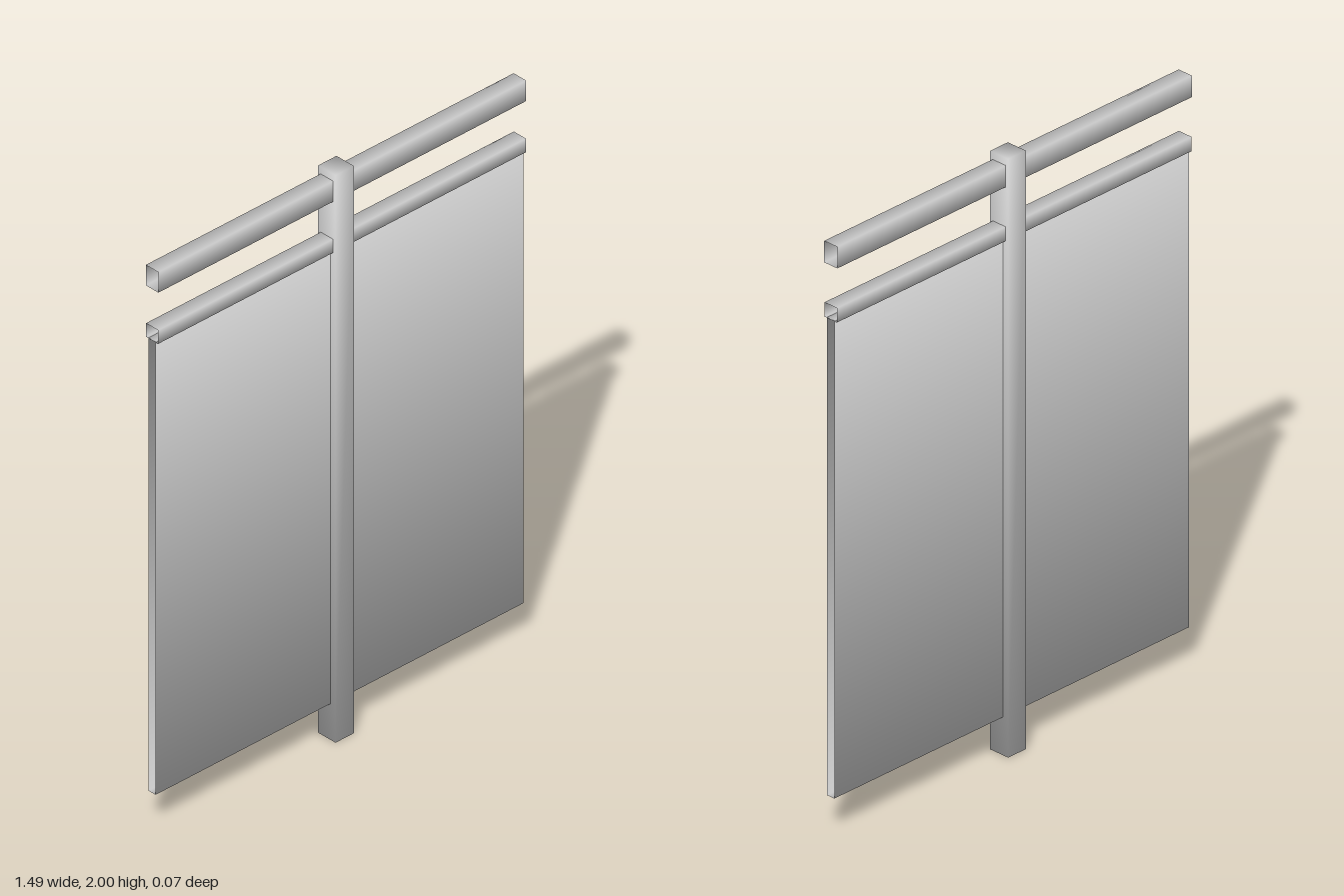
import * as THREE from 'three';
import { mergeVertices } from 'three/addons/utils/BufferGeometryUtils.js';

const material = new THREE.MeshStandardMaterial({ color: 0xcccccc, side: THREE.DoubleSide });
const WIDTH = 1.49;

// Box with normals blended over its edges; openEnds leaves off the two x faces
function softBox(w, h, d, openEnds) {
  const box = new THREE.BoxGeometry(w, h, d);
  if (openEnds) box.setIndex([...box.index.array].slice(12));
  box.deleteAttribute('uv');
  box.deleteAttribute('normal');
  const soft = mergeVertices(box);
  soft.computeVertexNormals();
  // Equal weight on each axis gives diagonal corner normals
  const p = soft.attributes.position, n = soft.attributes.normal, v = new THREE.Vector3();
  for (let i = 0; i < p.count; i++) {
    v.set(openEnds ? 0 : Math.sign(p.getX(i)), Math.sign(p.getY(i)), Math.sign(p.getZ(i))).normalize();
    n.setXYZ(i, v.x, v.y, v.z);
  }
  return soft;
}

export function createModel() {
  const model = new THREE.Group();

  function addPart(name, w, yMin, yMax, depth, openEnds) {
    const mesh = new THREE.Mesh(softBox(w, yMax - yMin, depth, openEnds), material);
    mesh.name = name;
    mesh.position.y = (yMin + yMax) / 2;
    model.add(mesh);
  }

  // Central square post
  addPart('post', 0.074, 0, 2, 0.074, false);
  // Hollow rails running through the post
  addPart('topRail', WIDTH, 1.903, 1.975, 0.054, true);
  addPart('panelRail', WIDTH, 1.722, 1.77, 0.052, true);
  // Thin hollow panel hanging below the lower rail
  addPart('panel', WIDTH, 0.127, 1.724, 0.03, true);

  return model;
}
